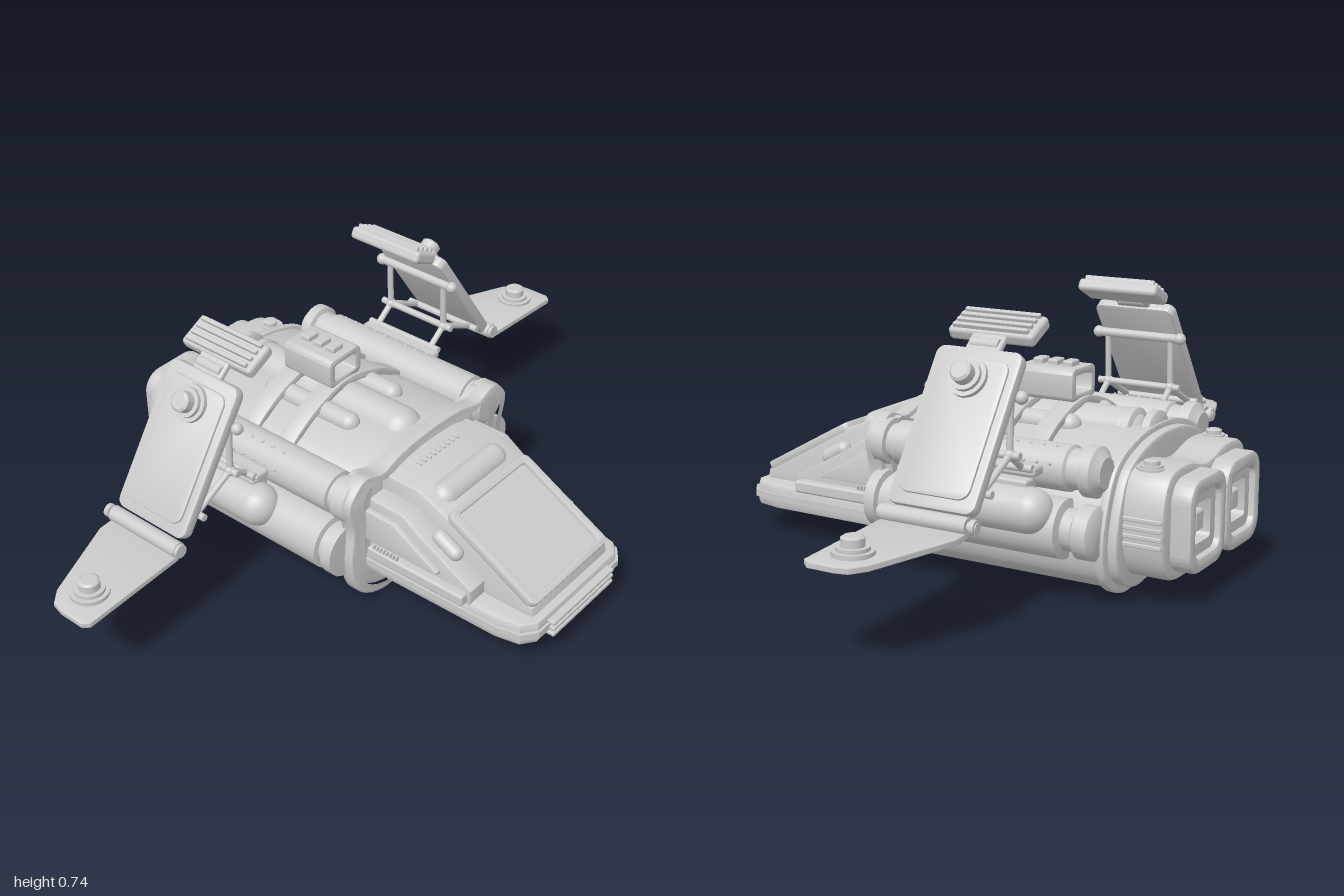
import * as THREE from 'three';
import { toCreasedNormals } from 'three/addons/utils/BufferGeometryUtils.js';
import { RoundedBoxGeometry } from 'three/addons/geometries/RoundedBoxGeometry.js';

const mat = new THREE.MeshStandardMaterial({ color: 0xcccccc, roughness: 0.7 });
const V2 = (x, y) => new THREE.Vector2(x, y);

function add(parent, name, geo, x = 0, y = 0, z = 0) {
  const m = new THREE.Mesh(geo, mat);
  m.name = name;
  m.position.set(x, y, z);
  parent.add(m);
  return m;
}
const box = (p, n, w, h, d, x, y, z, r = 0.008) =>
  add(p, n, new RoundedBoxGeometry(w, h, d, 2, Math.min(r, w / 2.1, h / 2.1, d / 2.1)), x, y, z);

// Extrude from depth a to b, with the bevel kept inside that span
function extrude(shape, a, b, bevel = 0) {
  const g = new THREE.ExtrudeGeometry(shape, {
    depth: b - a - 2 * bevel, bevelEnabled: bevel > 0, bevelSize: bevel, bevelThickness: bevel,
    bevelOffset: -bevel, bevelSegments: 2, curveSegments: 8,
  });
  return toCreasedNormals(g.translate(0, 0, a + bevel), 0.55);
}
const alongX = (shape, a, b, bevel) => extrude(shape, a, b, bevel).rotateY(Math.PI / 2);
const alongY = (shape, a, b, bevel) => extrude(shape, a, b, bevel).rotateX(-Math.PI / 2);

// Lathe of [position, radius] pairs, turned to lie along x
function turned(pts, seg = 28) {
  const g = new THREE.LatheGeometry(pts.map(([t, r]) => V2(r, t)), seg);
  return toCreasedNormals(g.rotateZ(-Math.PI / 2), 0.6);
}
function capsule(p, n, r, x0, x1, y, z) {
  return add(p, n, new THREE.CapsuleGeometry(r, x1 - x0 - 2 * r, 8, 20).rotateZ(Math.PI / 2), (x0 + x1) / 2, y, z);
}
function rod(p, n, a, b, r) {
  const A = new THREE.Vector3(...a), B = new THREE.Vector3(...b);
  const m = add(p, n, new THREE.CylinderGeometry(r, r, A.distanceTo(B), 14));
  m.position.copy(A).lerp(B, 0.5);
  m.quaternion.setFromUnitVectors(new THREE.Vector3(0, 1, 0), B.sub(A).normalize());
  return m;
}
function roundRect(cx, cy, w, h, r) {
  const s = new THREE.Shape(), x = w / 2 - r, y = h / 2 - r;
  s.absarc(cx + x, cy + y, r, 0, Math.PI / 2);
  s.absarc(cx - x, cy + y, r, Math.PI / 2, Math.PI);
  s.absarc(cx - x, cy - y, r, Math.PI, Math.PI * 1.5);
  s.absarc(cx + x, cy - y, r, Math.PI * 1.5, Math.PI * 2);
  return s;
}
function withHole(outer, inner) {
  outer.holes.push(inner);
  return outer;
}
const poly = pts => new THREE.Shape(pts.map(p => V2(...p)));

// Smooth symmetric section from half its (z, y) points, top to bottom
function section(half, k = 1) {
  const pts = half.map(([z, y]) => [z * k, 0.22 + (y - 0.22) * k]);
  const all = [...pts, ...pts.slice(1, -1).reverse().map(([z, y]) => [-z, y])];
  const c = new THREE.CatmullRomCurve3(all.map(([z, y]) => new THREE.Vector3(z, y, 0)), true, 'centripetal');
  return new THREE.Shape(c.getPoints(96).slice(0, -1).map(p => V2(p.x, p.y)));
}
const hull = [[0, 0.415], [0.13, 0.4], [0.24, 0.35], [0.29, 0.26], [0.31, 0.15], [0.285, 0.07], [0.2, 0.025], [0.1, 0.032], [0, 0.05]];
const rim = [[0, 0.435], [0.13, 0.425], [0.21, 0.405], [0.28, 0.425], [0.34, 0.37], [0.325, 0.27], [0.335, 0.17], [0.3, 0.055], [0.2, 0.002], [0.1, 0.012], [0, 0.033]];

// Copy of a group reflected across z = 0
function mirrored(src, name) {
  const out = new THREE.Group();
  out.name = name;
  src.updateMatrixWorld(true);
  src.traverse(o => {
    if (!o.isMesh) return;
    const g = (o.geometry.index ? o.geometry.toNonIndexed() : o.geometry.clone()).applyMatrix4(o.matrixWorld);
    g.scale(1, 1, -1);
    for (const at of Object.values(g.attributes)) {
      const n = at.itemSize, a = at.array;
      for (let i = 0; i < a.length; i += 3 * n) {
        for (let k = 0; k < n; k++) [a[i + n + k], a[i + 2 * n + k]] = [a[i + 2 * n + k], a[i + n + k]];
      }
    }
    add(out, o.name, g);
  });
  return out;
}

function stepDisc(p, n, r, h, x, y, z) {
  const prof = [[r, 0], [r, h * 0.25], [r * 0.78, h * 0.25], [r * 0.78, h * 0.45], [r * 0.55, h * 0.45], [r * 0.55, h * 0.9], [r * 0.42, h], [0, h]];
  add(p, n, toCreasedNormals(new THREE.LatheGeometry(prof.map(q => V2(...q)), 24), 0.5), x, y, z);
}

function buildWing() {
  const w = new THREE.Group();
  // Sloping panel with inset plate and round port
  const panel = new THREE.Group();
  panel.name = 'wingPanel';
  panel.position.set(-0.23, 0.48, 0.535);
  panel.rotation.x = 0.97;
  w.add(panel);
  add(panel, 'panelSlab', alongY(roundRect(0, 0, 0.245, 0.42, 0.025), -0.02, 0.012, 0.005));
  add(panel, 'panelPlate', alongY(roundRect(0, 0, 0.2, 0.36, 0.03), 0.01, 0.02, 0.004));
  stepDisc(panel, 'panelPort', 0.052, 0.055, 0, 0.018, -0.125);
  // Slatted head plate
  const head = new THREE.Group();
  head.name = 'wingHead';
  head.position.set(-0.23, 0.697, 0.34);
  head.rotation.x = 0.45;
  w.add(head);
  box(head, 'headPlate', 0.245, 0.036, 0.095, 0, 0, 0, 0.012);
  for (let i = 0; i < 4; i++) box(head, 'headSlat', 0.215, 0.014, 0.012, 0, 0.022, -0.033 + i * 0.022, 0.003);
  rod(w, 'headNeck', [-0.27, 0.665, 0.4], [-0.19, 0.665, 0.4], 0.016);
  box(w, 'neckPlate', 0.1, 0.02, 0.06, -0.23, 0.667, 0.395).rotation.x = 0.7;
  // Hinge and flat outer fin
  rod(w, 'hingeBarrel', [-0.35, 0.29, 0.675], [-0.11, 0.29, 0.675], 0.022);
  rod(w, 'hingePin', [-0.375, 0.29, 0.675], [-0.1, 0.29, 0.675], 0.012);
  for (const x of [-0.365, -0.107]) rod(w, 'hingeCap', [x - 0.007, 0.29, 0.675], [x + 0.007, 0.29, 0.675], 0.019);
  const fin = poly([[-0.35, -0.68], [-0.35, -0.73], [-0.265, -0.955], [-0.235, -0.992], [-0.2, -1], [-0.125, -1], [-0.108, -0.985], [-0.108, -0.68]]);
  const f = add(w, 'outerFin', alongY(fin, -0.008, 0.008, 0.003).translate(0, 0, -0.68), 0, 0.268, 0.68);
  f.rotation.x = 0.055;
  stepDisc(w, 'finLamp', 0.052, 0.045, -0.19, 0.262, 0.91);
  rod(w, 'finStud', [-0.19, 0.235, 0.91], [-0.19, 0.262, 0.91], 0.02);
  // Folding struts
  const joint = [0.41, 0.455], ends = [[0.555, 0.45], [0.345, 0.585], [0.365, 0.395]];
  for (const x of [-0.33, -0.13]) {
    for (const [y, z] of ends) rod(w, 'strut', [x, ...joint], [x, y, z], 0.009);
    add(w, 'strutJoint', new THREE.SphereGeometry(0.016, 14, 10), x, ...joint);
  }
  for (const [y, z] of [joint, ...ends]) rod(w, 'crossRod', [-0.36, y, z], [-0.1, y, z], y > 0.5 ? 0.013 : 0.01);
  for (const x of [-0.36, -0.1]) add(w, 'rodKnob', new THREE.SphereGeometry(0.017, 14, 10), x, 0.555, 0.45);
  box(w, 'strutRail', 0.27, 0.025, 0.05, -0.23, 0.355, 0.37);
  return w;
}

function buildSide() {
  const s = new THREE.Group();
  // Upper tank with collars and studs
  add(s, 'upperTube', turned([[-0.51, 0], [-0.51, 0.04], [-0.5, 0.05], [-0.49, 0.066], [-0.46, 0.066], [-0.455, 0.052], [-0.42, 0.052], [-0.415, 0.06],
    [0.1, 0.06], [0.102, 0.05], [0.12, 0.05], [0.122, 0.063], [0.16, 0.063], [0.17, 0.05], [0.17, 0]]), 0, 0.35, 0.287);
  for (let i = 0; i < 9; i++) {
    for (const a of [0.35, 1.25]) {
      add(s, 'stud', new THREE.SphereGeometry(0.005, 6, 5), -0.38 + i * 0.038, 0.35 + 0.06 * Math.sin(a), 0.287 + 0.06 * Math.cos(a));
    }
  }
  // Lower tank and side pod
  add(s, 'lowerTube', turned([[-0.51, 0], [-0.51, 0.055], [-0.5, 0.07], [-0.46, 0.07], [-0.45, 0.055], [-0.42, 0.055], [-0.415, 0.078],
    [0.1, 0.078], [0.103, 0.062], [0.12, 0.062], [0.123, 0.078], [0.155, 0.078], [0.16, 0]]), 0, 0.2, 0.315);
  capsule(s, 'sidePod', 0.06, -0.4, -0.06, 0.25, 0.37);
  box(s, 'podMount', 0.2, 0.05, 0.06, -0.23, 0.3, 0.345);
  capsule(s, 'topPod', 0.03, -0.33, 0, 0.408, 0.092);
  // Rear block fittings
  stepDisc(s, 'rearValve', 0.038, 0.025, -0.585, 0.35, 0.19);
  for (let i = 0; i < 4; i++) box(s, 'rearVent', 0.11, 0.012, 0.02, -0.595, 0.17 + i * 0.022, 0.258, 0.003);
  // Engine nozzle, hollow and stepped
  const c = 0.112, y = 0.212;
  add(s, 'nozzle', alongX(withHole(roundRect(-c, y, 0.222, 0.245, 0.06), roundRect(-c, y, 0.15, 0.165, 0.03)), -0.71, -0.64, 0.01));
  add(s, 'nozzleLiner', alongX(withHole(roundRect(-c, y, 0.155, 0.17, 0.03), roundRect(-c, y, 0.095, 0.105, 0.012)), -0.692, -0.64));
  box(s, 'nozzleCore', 0.04, 0.055, 0.05, -0.665, y, c);
  // Cabin side armour with stepped panel
  const armour = poly([[0.16, 0.325], [0.27, 0.325], [0.33, 0.285], [0.5, 0.19], [0.5, 0.14], [0.16, 0.14]]);
  add(s, 'cabinArmour', extrude(armour, 0.15, 0.235, 0.008));
  const cheek = poly([[0.16, 0.295], [0.255, 0.295], [0.32, 0.255], [0.4, 0.21], [0.4, 0.2], [0.16, 0.2]]);
  add(s, 'cabinCheek', extrude(cheek, 0.22, 0.252, 0.006));
  box(s, 'cabinBracket', 0.32, 0.035, 0.07, 0.33, 0.165, 0.225);
  for (let i = 0; i < 8; i++) box(s, 'cabinRib', 0.006, 0.014, 0.012, 0.195 + i * 0.011, 0.193, 0.256, 0.002);
  capsule(s, 'cabinBlister', 0.022, 0.34, 0.44, 0.262, 0.19).rotation.z = -0.5;
  return s;
}

export function createModel() {
  const ship = new THREE.Group();
  ship.name = 'ship';

  // Fuselage, with raised rims at both ends
  add(ship, 'fuselage', alongX(section(hull), -0.5, 0.155, 0.004));
  add(ship, 'frontRim', alongX(withHole(section(rim), section(rim, 0.93)), 0.14, 0.185, 0.006));
  add(ship, 'frontInnerRim', alongX(withHole(section(rim, 0.92), section(rim, 0.83)), 0.13, 0.175, 0.006));
  add(ship, 'frontBulkhead', alongX(section(rim, 0.94), 0.12, 0.155));
  add(ship, 'rearRim', alongX(section(hull, 1.04), -0.52, -0.495, 0.006));
  add(ship, 'rearInnerRim', alongX(section(hull, 0.96), -0.545, -0.51, 0.008));
  const waist = [[0, 0.335], [0.12, 0.358], [0.22, 0.345], [0.258, 0.28], [0.26, 0.15], [0.22, 0.08], [0.12, 0.065], [0, 0.09]];
  add(ship, 'rearBlock', alongX(section(waist), -0.655, -0.52, 0.012));

  // Spine pod with collars, straps and the carrying frame
  capsule(ship, 'spinePod', 0.063, -0.48, 0.135, 0.387, 0);
  for (const x of [-0.5, -0.44]) add(ship, 'spineCollar', turned([[-0.015, 0], [-0.015, 0.06], [-0.01, 0.068], [0.01, 0.068], [0.015, 0.06], [0.015, 0]]), x, 0.385, 0);
  const arc = new THREE.SplineCurve([V2(-0.25, 0.36), V2(-0.14, 0.43), V2(0, 0.466), V2(0.14, 0.43), V2(0.25, 0.36)]).getPoints(24);
  const strap = new THREE.Shape([...arc, ...arc.map(p => V2(p.x * 0.98, p.y - 0.022)).reverse()]);
  for (const x of [-0.27, -0.14]) add(ship, 'strap', alongX(strap, x - 0.028, x + 0.028, 0.003));
  add(ship, 'topFrame', alongX(withHole(roundRect(0, 0.502, 0.13, 0.088, 0.018), roundRect(0, 0.502, 0.085, 0.05, 0.008)), -0.29, -0.12, 0.004));
  for (const x of [-0.25, -0.205, -0.16]) box(ship, 'topButton', 0.03, 0.022, 0.045, x, 0.55, 0, 0.005);

  // Cabin tray, canopy, sloped window and nose
  const tray = poly([[0.15, 0.24], [0.58, 0.235], [0.65, 0.22], [0.68, 0.18], [0.68, -0.18], [0.65, -0.22], [0.58, -0.235], [0.15, -0.24]]);
  add(ship, 'cabinTray', alongY(tray, 0.078, 0.15, 0.015));
  add(ship, 'trayBand', alongY(tray, 0.105, 0.125).scale(1.01, 1, 1.025));
  const canopy = poly([[0.15, 0.372], [0.27, 0.372], [0.36, 0.335], [0.65, 0.175], [0.66, 0.13], [0.15, 0.13]]);
  add(ship, 'canopy', extrude(canopy, -0.175, 0.175, 0.012));
  const pane = new THREE.Group();
  pane.name = 'window';
  pane.position.set(0.508, 0.254, 0);
  pane.rotation.z = -0.504;
  ship.add(pane);
  add(pane, 'windowFrame', alongY(withHole(roundRect(0, 0, 0.325, 0.345, 0.02), roundRect(0, 0, 0.285, 0.295, 0.012)), -0.01, 0.016, 0.003));
  add(pane, 'windowPane', alongY(roundRect(0, 0, 0.29, 0.3, 0.012), -0.01, 0.005));
  add(ship, 'roofRoll', new THREE.CapsuleGeometry(0.04, 0.21, 8, 20).rotateX(Math.PI / 2), 0.31, 0.335, 0);
  for (let i = 0; i < 9; i++) box(ship, 'roofTick', 0.018, 0.008, 0.008, 0.205, 0.374, -0.08 + i * 0.02, 0.002);
  for (let i = 0; i < 3; i++) box(ship, 'noseBar', 0.04, 0.012, 0.28, 0.682, 0.09 + i * 0.019, 0, 0.004);

  // Paired parts
  const sides = [[buildWing(), 'Wing'], [buildSide(), 'SideGear']];
  for (const [g, n] of sides) {
    g.name = 'right' + n;
    ship.add(g, mirrored(g, 'left' + n));
  }
  return ship;
}
